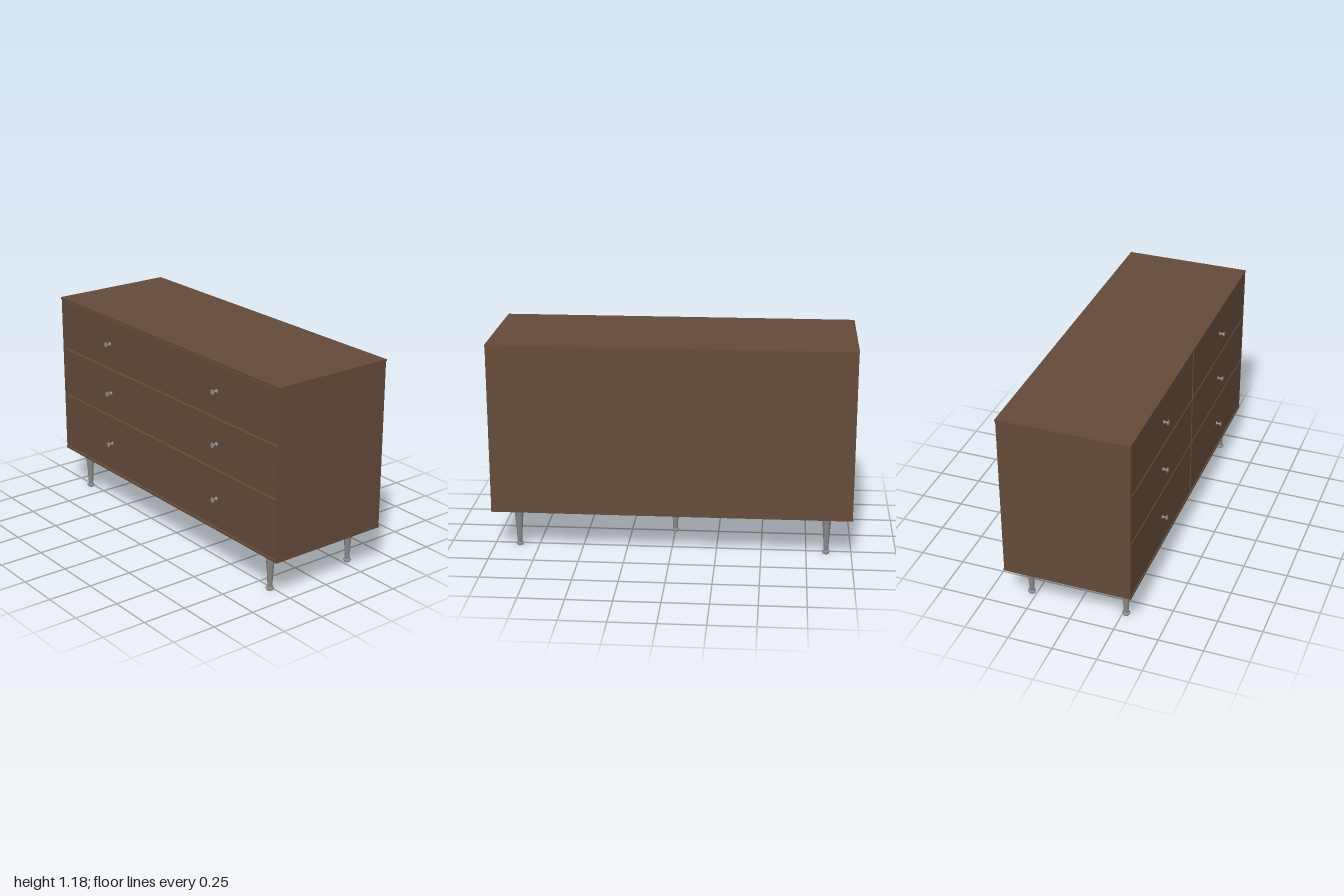
import * as THREE from 'three';

const wood = new THREE.MeshStandardMaterial({ color: 0x654b3a });
wood.name = 'walnut brown';
const metal = new THREE.MeshStandardMaterial({ color: 0x8a8a8a });
metal.name = 'metal grey';

const BACK = -0.375, FRONT = 0.347;

// Box given by its lower and upper limits on each axis
function slab(name, x0, x1, y0, y1, z0, z1) {
  const mesh = new THREE.Mesh(new THREE.BoxGeometry(x1 - x0, y1 - y0, z1 - z0), wood);
  mesh.position.set((x0 + x1) / 2, (y0 + y1) / 2, (z0 + z1) / 2);
  mesh.name = name;
  return mesh;
}

// Turned solid from [radius, height] pairs; each segment keeps crisp rims
function turned(profile, sides) {
  const points = [];
  profile.forEach(([r, y], i) => {
    points.push(new THREE.Vector2(r, y));
    // doubled points stop the normals smearing over the rims
    if (i > 0 && i < profile.length - 1) points.push(new THREE.Vector2(r, y + 0.0002));
  });
  return new THREE.LatheGeometry(points, sides);
}

export function createModel() {
  const model = new THREE.Group();
  model.name = 'dresser';

  // Cabinet boards
  const cabinet = new THREE.Group();
  cabinet.name = 'cabinet';
  cabinet.add(
    slab('topBoard', -1, 1, 1.173, 1.185, BACK, FRONT),
    slab('bottomBoard', -1, 1, 0.23, 0.241, BACK, FRONT),
    slab('rightSide', -0.998, -0.985, 0.241, 1.173, BACK + 0.003, FRONT - 0.002),
    slab('leftSide', 0.985, 0.998, 0.241, 1.173, BACK + 0.003, FRONT - 0.002),
    slab('carcass', -0.985, 0.985, 0.241, 1.173, BACK + 0.004, 0.325)
  );
  model.add(cabinet);

  // Drawers in two columns and three rows, each with a round pull
  const pullGeometry = turned([
    [0, 0], [0.012, 0], [0.011, 0.002], [0.005, 0.007], [0.005, 0.018],
    [0.012, 0.023], [0.015, 0.026], [0.015, 0.029], [0.009, 0.03], [0, 0.027],
  ], 20);
  pullGeometry.rotateX(Math.PI / 2);
  const rows = [
    { y0: 0.25, y1: 0.578, pull: 0.414 },
    { y0: 0.588, y1: 0.869, pull: 0.727 },
    { y0: 0.879, y1: 1.169, pull: 1.023 },
  ];
  for (const side of [-1, 1]) {
    for (const row of rows) {
      const drawer = new THREE.Group();
      drawer.name = 'drawer';
      const x = side * 0.495;
      const pull = new THREE.Mesh(pullGeometry, metal);
      pull.name = 'drawerPull';
      pull.position.set(x, row.pull, FRONT - 0.002);
      drawer.add(slab('drawerFront', x - 0.487, x + 0.487, row.y0, row.y1, 0.32, FRONT - 0.002), pull);
      model.add(drawer);
    }
  }

  // Tapered legs at the corners and one under the middle
  const legGeometry = turned([
    [0, 0], [0.017, 0], [0.017, 0.008], [0.022, 0.01], [0.022, 0.014], [0.013, 0.018],
    [0.017, 0.1], [0.026, 0.216], [0.036, 0.222], [0.037, 0.23], [0, 0.2305],
  ], 24);
  const spots = [[-0.86, 0.27], [0.86, 0.27], [-0.86, -0.278], [0.86, -0.278], [0, -0.007]];
  for (const [x, z] of spots) {
    const leg = new THREE.Mesh(legGeometry, metal);
    leg.name = 'leg';
    leg.position.set(x, 0, z);
    model.add(leg);
  }

  return model;
}
